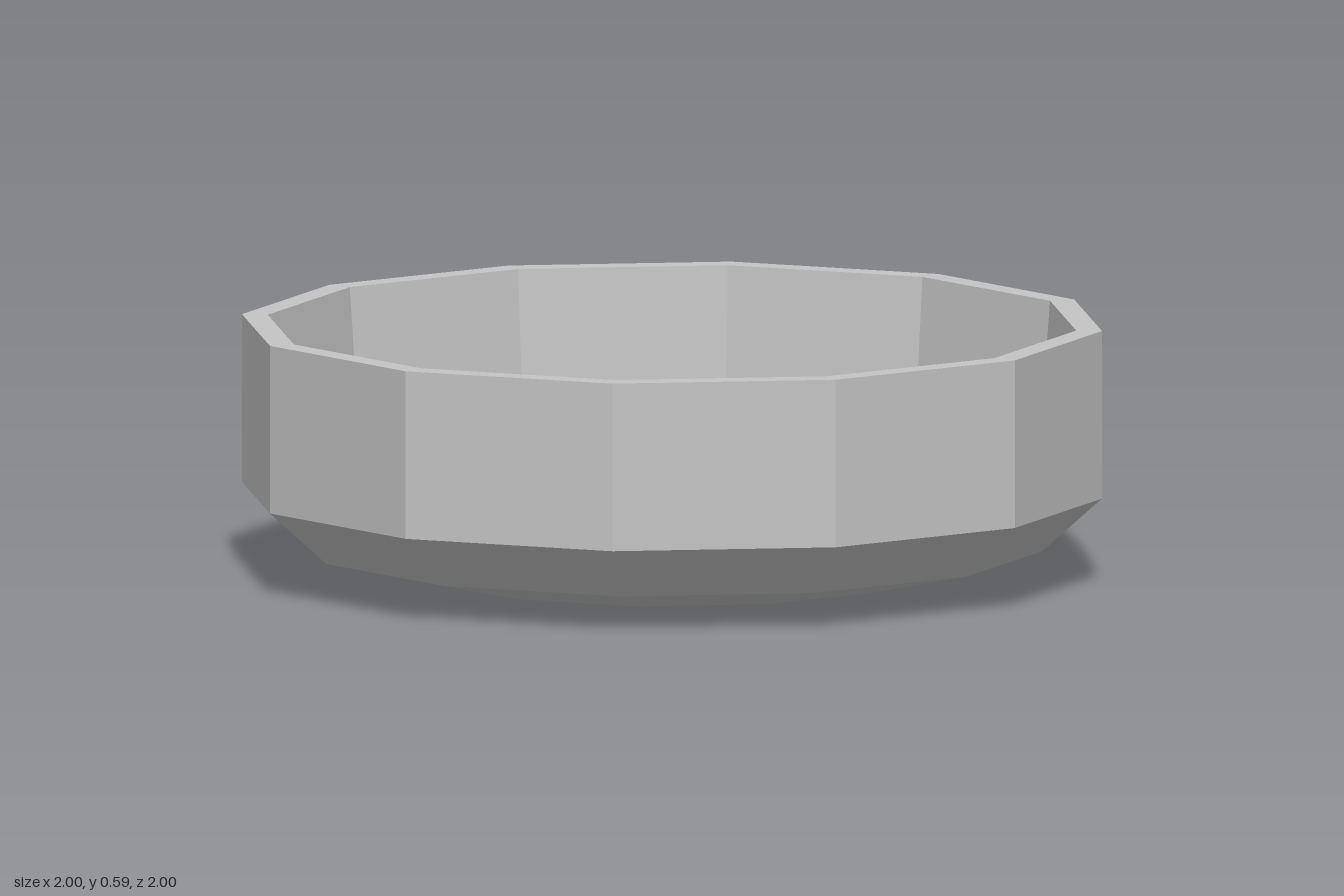
import * as THREE from 'three';

const SIDES = 12;

export function createModel() {
  const model = new THREE.Group();
  model.name = 'bowl';

  const stone = new THREE.MeshStandardMaterial({ color: 0xc4c4c4, flatShading: true });
  stone.name = 'pale grey';

  // Each shell is a faceted profile turned around the y axis
  const addShell = (name, profile) => {
    const points = profile.map(([r, y]) => new THREE.Vector2(r, y));
    const mesh = new THREE.Mesh(new THREE.LatheGeometry(points, SIDES), stone);
    mesh.name = name;
    model.add(mesh);
  };

  // Rounded underside and upright wall, from the centre outwards
  addShell('outerShell', [[0, 0], [0.27, 0.002], [0.58, 0.012], [0.86, 0.075], [1, 0.2], [1, 0.59]]);

  // Flat rim
  addShell('rim', [[1, 0.59], [0.94, 0.59]]);

  // Tapered inner wall and dished floor, from the rim down to the centre
  addShell('innerShell', [[0.94, 0.59], [0.91, 0.21], [0.79, 0.115], [0.55, 0.062], [0.25, 0.052], [0, 0.05]]);

  return model;
}
